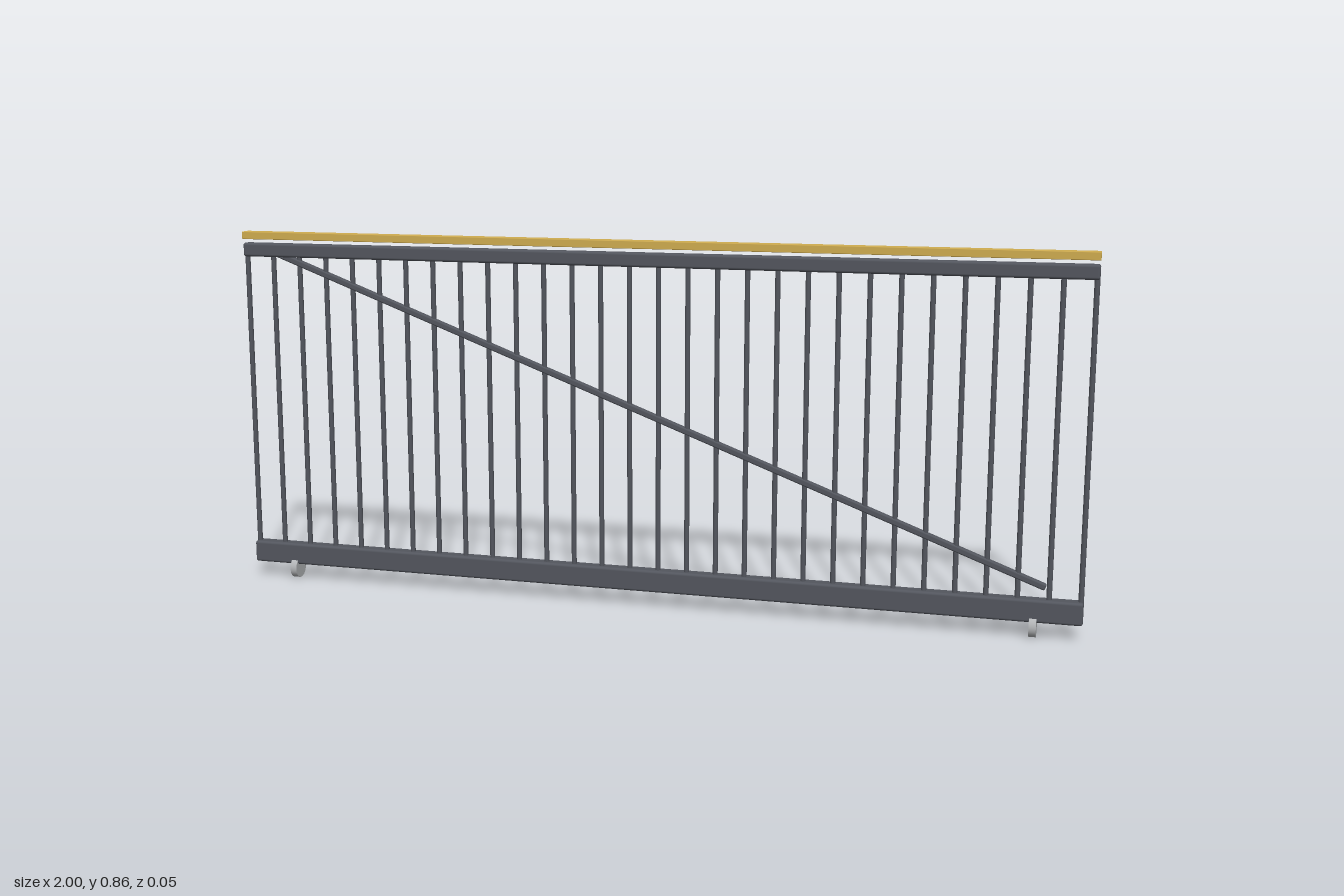
import * as THREE from 'three';
import { RoundedBoxGeometry } from 'three/addons/geometries/RoundedBoxGeometry.js';

export function createModel() {
  const railing = new THREE.Group();
  railing.name = 'railing';

  const steel = new THREE.MeshStandardMaterial({ color: 0x53565e });
  steel.name = 'dark steel';
  const gold = new THREE.MeshStandardMaterial({ color: 0xcfac50 });
  gold.name = 'golden handrail';
  const wheelGrey = new THREE.MeshStandardMaterial({ color: 0xb4b6b8 });
  wheelGrey.name = 'light grey wheel';

  const add = (name, geometry, material, x, y, z = 0) => {
    const mesh = new THREE.Mesh(geometry, material);
    mesh.name = name;
    mesh.position.set(x, y, z);
    railing.add(mesh);
    return mesh;
  };

  // Horizontal beam between two heights
  const beam = (name, y0, y1, depth, radius, material) =>
    add(name, new RoundedBoxGeometry(2, y1 - y0, depth, 3, radius), material, 0, (y0 + y1) / 2);

  beam('handrail', 0.837, 0.855, 0.029, 0.0015, gold);
  beam('topRail', 0.795, 0.828, 0.025, 0.006, steel);
  beam('bottomRail', 0.036, 0.088, 0.033, 0.006, steel);

  // Evenly spaced upright bars
  const barCount = 30, barRadius = 0.006, barBottom = 0.07, barTop = 0.81;
  const barGeometry = new THREE.CylinderGeometry(barRadius, barRadius, barTop - barBottom, 12);
  for (let i = 0; i < barCount; i++) {
    const x = THREE.MathUtils.lerp(-0.994, 0.994, i / (barCount - 1));
    add('uprightBar', barGeometry, steel, x, (barBottom + barTop) / 2);
  }

  // Diagonal brace from the upper right to the lower left
  const start = new THREE.Vector2(-0.92, 0.805), end = new THREE.Vector2(0.917, 0.115);
  const run = end.clone().sub(start);
  const brace = add('diagonalBrace', new RoundedBoxGeometry(run.length(), 0.015, 0.015, 3, 0.004),
    steel, (start.x + end.x) / 2, (start.y + end.y) / 2);
  brace.rotation.z = run.angle();

  // Wheels under the bottom rail
  const wheelGeometry = new THREE.CylinderGeometry(0.026, 0.026, 0.016, 32).rotateZ(Math.PI / 2);
  for (const side of [-1, 1]) add('wheel', wheelGeometry, wheelGrey, side * 0.893, 0.026);

  return railing;
}
